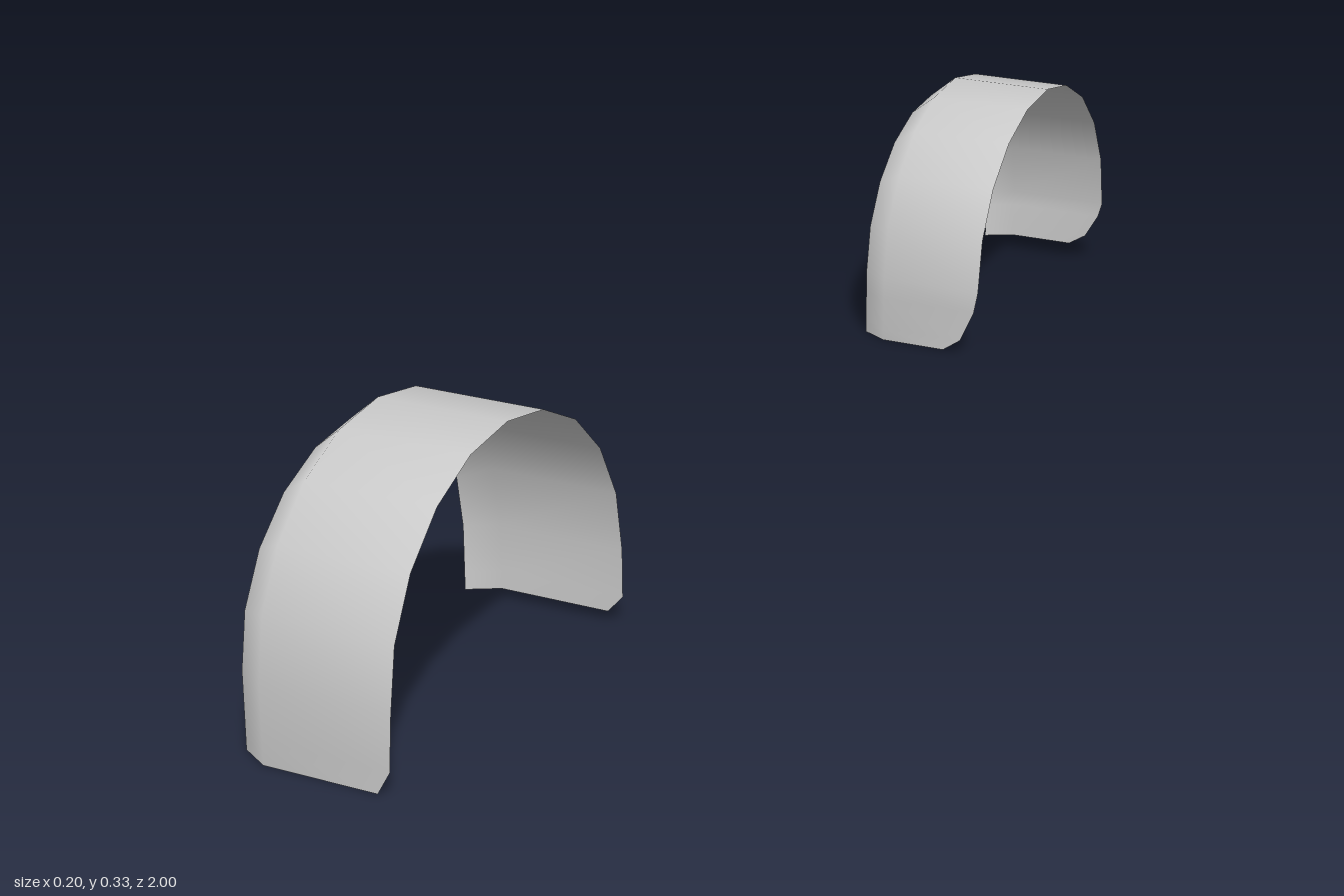
import * as THREE from 'three';

const SPRING = 0.093; // height where the straight legs meet the arc
const RZ = 0.242, RY = 0.24; // outer arc radii
const INSET_Z = 0.022, INSET_Y = 0.031; // how far the bevelled lip turns inwards
const SEGMENTS = 10;

const material = new THREE.MeshStandardMaterial({ color: 0xcccccc, side: THREE.DoubleSide });

// One thin wheel arch. Each leg lists [y, x of its +x edge] from the bottom up.
function wheelArch(name, z, lipX, bendX, frontLeg, rearLeg) {
  // Rows follow the arch from the front foot, over the top, to the rear foot
  const rows = frontLeg.map(([y, edge]) => ({ y, edge, c: 1, s: 0 }));
  for (let i = 0; i <= SEGMENTS; i++) {
    const a = (i / SEGMENTS) * Math.PI;
    rows.push({ y: SPRING, edge: 0.1, c: Math.cos(a), s: Math.sin(a) });
  }
  for (const [y, edge] of [...rearLeg].reverse()) rows.push({ y, edge, c: -1, s: 0 });

  // Cross-section: inward lip, bend, outer edge
  const positions = [], index = [];
  rows.forEach(({ y, edge, c, s }, r) => {
    const outerY = y + RY * s, outerZ = RZ * c;
    positions.push(lipX, y + (RY - INSET_Y) * s, (RZ - INSET_Z) * c);
    positions.push(bendX, outerY, outerZ, edge, outerY, outerZ);
    if (r === rows.length - 1) return;
    for (let k = 0; k < 2; k++) {
      const p = r * 3 + k;
      index.push(p, p + 1, p + 3, p + 1, p + 4, p + 3);
    }
  });

  const geometry = new THREE.BufferGeometry();
  geometry.setAttribute('position', new THREE.Float32BufferAttribute(positions, 3));
  geometry.setIndex(index);
  geometry.computeVertexNormals();
  const mesh = new THREE.Mesh(geometry, material);
  mesh.name = name;
  mesh.position.z = z;
  return mesh;
}

export function createModel() {
  const group = new THREE.Group();
  group.name = 'wheelArches';
  group.add(
    // Front arch, small cuts at the lower outer corners
    wheelArch('frontWheelArch', 0.758, -0.1, -0.063,
      [[0, 0.08], [0.028, 0.096]],
      [[0.012, 0.08], [0.034, 0.1]]),
    // Rear arch, narrower with rounder lower corners
    wheelArch('rearWheelArch', -0.758, -0.084, -0.046,
      [[0, 0.048], [0.018, 0.074], [0.062, 0.094]],
      [[0.022, 0.048], [0.038, 0.074], [0.072, 0.094]])
  );
  return group;
}
